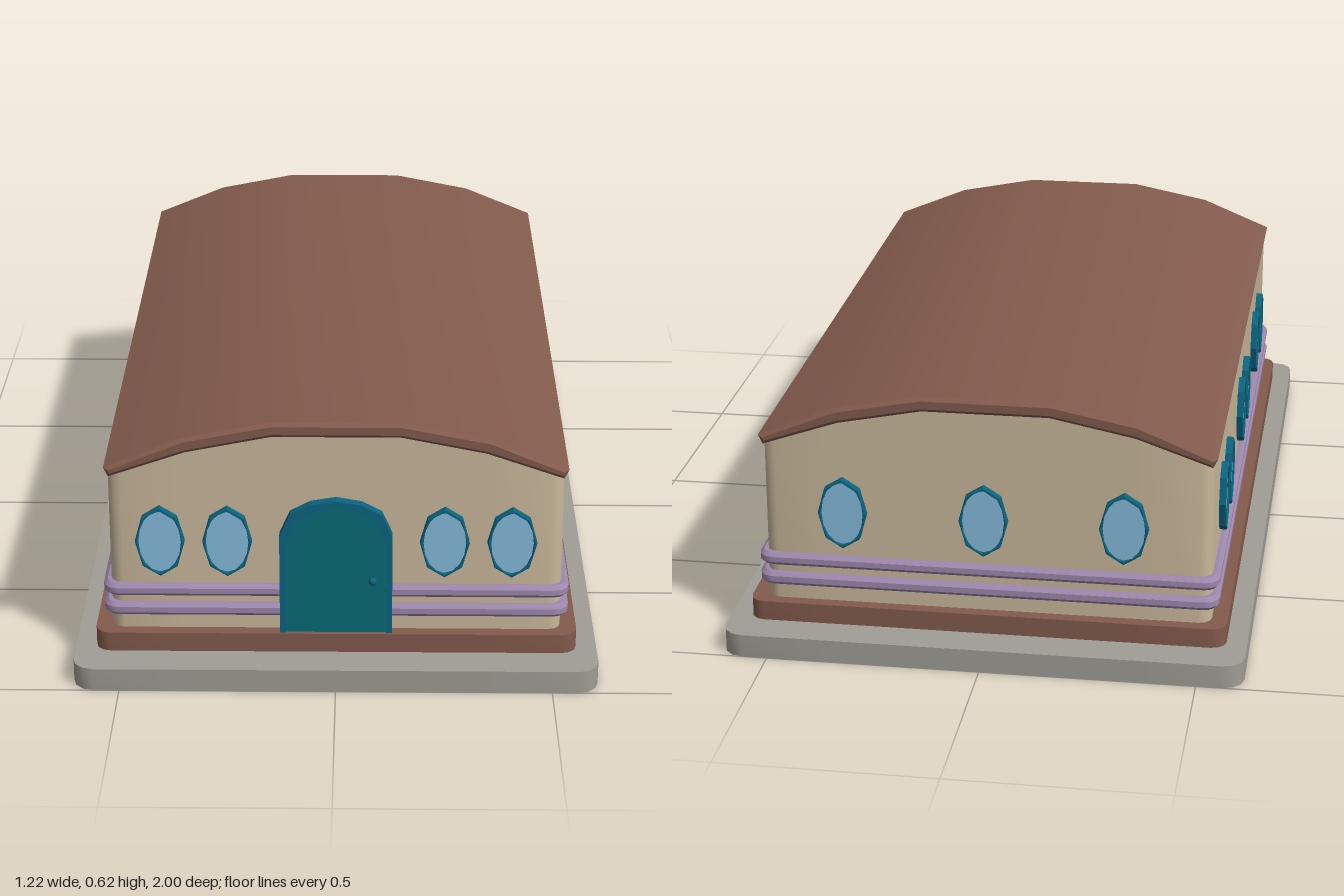
import * as THREE from 'three';
import { toCreasedNormals } from 'three/addons/utils/BufferGeometryUtils.js';

const mat = (name, color) => new THREE.MeshStandardMaterial({ name, color });

// Roof line: half-width breakpoints and heights of the top surface
const ARCH = [[-0.53, 0.512], [-0.35, 0.586], [-0.15, 0.625], [0.15, 0.625], [0.35, 0.586], [0.53, 0.512]];
const archHeight = (x) => {
  const a = Math.abs(x);
  if (a < 0.15) return 0.625;
  return a < 0.35 ? 0.625 - (a - 0.15) * 0.195 : 0.586 - (a - 0.35) * 0.411;
};

const vectors = (pts) => pts.map(([x, y]) => new THREE.Vector2(x, y));
const polygon = (pts) => new THREE.Shape(vectors(pts));

// Rounded rectangle with extra points on its short edges where the roof bends
function planPoints(hx, hz, r) {
  const pts = [];
  [[1, 1, 0], [-1, 1, 1], [-1, -1, 2], [1, -1, 3]].forEach(([sx, sz, q]) => {
    for (let i = 0; i <= 3; i++) {
      const a = (q + i / 3) * Math.PI / 2;
      pts.push([sx * (hx - r) + r * Math.cos(a), sz * (hz - r) + r * Math.sin(a)]);
    }
    if (q === 0) [0.35, 0.15, -0.15, -0.35].forEach((x) => pts.push([x, hz]));
    if (q === 2) [-0.35, -0.15, 0.15, 0.35].forEach((x) => pts.push([x, -hz]));
  });
  return pts;
}

// Extrusion with an optional one-step chamfer that stays inside the outline
function extrude(shape, depth, chamfer = 0) {
  const g = new THREE.ExtrudeGeometry(shape, {
    depth: depth - 2 * chamfer, bevelEnabled: chamfer > 0, bevelSize: chamfer,
    bevelThickness: chamfer, bevelOffset: -chamfer, bevelSegments: 1,
  });
  return g.translate(0, 0, chamfer);
}

// Horizontal slab from y0 to y1; a rim width above 0 leaves the middle open
function slab(hx, hz, r, y0, y1, rim = 0, chamfer = 0) {
  const shape = polygon(planPoints(hx, hz, r));
  if (rim > 0) shape.holes.push(new THREE.Path(vectors(planPoints(hx - rim, hz - rim, r - rim / 2))));
  return extrude(shape, y1 - y0, chamfer).rotateX(-Math.PI / 2).translate(0, y0, 0);
}

const ellipse = (rx, ry, n) => Array.from({ length: n }, (_, i) => {
  const a = (i / n) * Math.PI * 2;
  return [rx * Math.cos(a), ry * Math.sin(a)];
});

// Arched door outline from the right foot over the top to the left foot
function doorOutline(w, top, y0) {
  const half = [[1, 0], [1, -0.09], [0.81, -0.035], [0.45, -0.01]];
  const right = half.map(([x, d], i) => [x * w, i === 0 ? y0 : top + d]);
  return [...right, [0, top], ...right.slice().reverse().map(([x, y]) => [-x, y])];
}

export function createModel() {
  const root = new THREE.Group();
  root.name = 'building';
  const stone = mat('grey stone', 0xa09d95);
  const brown = mat('brown', 0x835b4d);
  const plaster = mat('beige plaster', 0xcab89b);
  const purple = mat('purple trim', 0x9d88ad);
  const frameMat = mat('teal frame', 0x0a647f);
  const doorMat = mat('teal door', 0x086b76);
  const glassMat = mat('pale blue glass', 0x85badc);

  const add = (name, geometry, material, parent = root) => {
    const mesh = new THREE.Mesh(geometry, material);
    mesh.name = name;
    parent.add(mesh);
    return mesh;
  };
  const smooth = (g, angle = 0.6) => toCreasedNormals(g, angle);

  // Ground slab, hollow from below, and plinth
  add('baseRim', smooth(slab(0.608, 1, 0.05, 0, 0.055, 0.006)), stone);
  add('baseTop', smooth(slab(0.604, 0.996, 0.048, 0.051, 0.055)), stone);
  add('plinth', smooth(slab(0.56, 0.91, 0.035, 0.053, 0.102)), brown);

  // Walls, their top edge raised to meet the curved roof
  const walls = slab(0.523, 0.88, 0.03, 0.1, 0.5);
  const p = walls.attributes.position;
  for (let i = 0; i < p.count; i++) {
    if (p.getY(i) > 0.3) p.setY(i, archHeight(p.getX(i)) - 0.018);
  }
  add('walls', smooth(walls), plaster);

  // Curved roof sheet with chamfered rim
  const under = ARCH.map(([x, y]) => [x * 0.98, y - (Math.abs(x) > 0.5 ? 0.022 : 0.035)]);
  const roof = extrude(polygon([...under, ...ARCH.slice().reverse()]), 1.78, 0.008);
  add('roof', smooth(roof.translate(0, 0, -0.89), 0.3), brown);

  // Two trim bands around the walls
  [[0.138, 0.17], [0.188, 0.219]].forEach(([y0, y1], i) => {
    add(`trimBand${i + 1}`, smooth(slab(0.54, 0.895, 0.035, y0, y1, 0.04, 0.009)), purple);
  });

  // Oval windows: octagonal frame around a recessed pane
  const ring = polygon(ellipse(0.057, 0.087, 8));
  ring.holes.push(new THREE.Path(vectors(ellipse(0.049, 0.077, 16))));
  const frameGeo = extrude(ring, 0.03, 0.002);
  const paneGeo = extrude(polygon(ellipse(0.051, 0.079, 16)), 0.009);
  const addWindow = (x, z, turn) => {
    const w = new THREE.Group();
    w.name = 'window';
    add('windowFrame', frameGeo, frameMat, w).position.z = -0.014;
    add('windowPane', paneGeo, glassMat, w).position.z = 0.002;
    w.position.set(x, 0.33, z);
    w.rotation.y = turn;
    root.add(w);
  };
  [-0.405, -0.25, 0.25, 0.405].forEach((x) => addWindow(x, 0.88, 0));
  [-0.32, 0.005, 0.335].forEach((x) => addWindow(x, -0.88, Math.PI));
  [0.57, 0.415, 0.06, -0.095, -0.505, -0.66].forEach((z) => {
    addWindow(0.524, z, Math.PI / 2);
    addWindow(-0.524, z, -Math.PI / 2);
  });

  // Arched door with surround and knob
  const surround = polygon([...doorOutline(0.13, 0.44, 0.1), ...doorOutline(0.115, 0.422, 0.1).reverse()]);
  add('doorFrame', extrude(surround, 0.03), frameMat).position.z = 0.875;
  add('door', extrude(polygon(doorOutline(0.116, 0.423, 0.1)), 0.025), doorMat).position.z = 0.875;
  add('doorKnob', new THREE.SphereGeometry(0.01, 12, 8), frameMat).position.set(0.085, 0.235, 0.902);

  return root;
}
